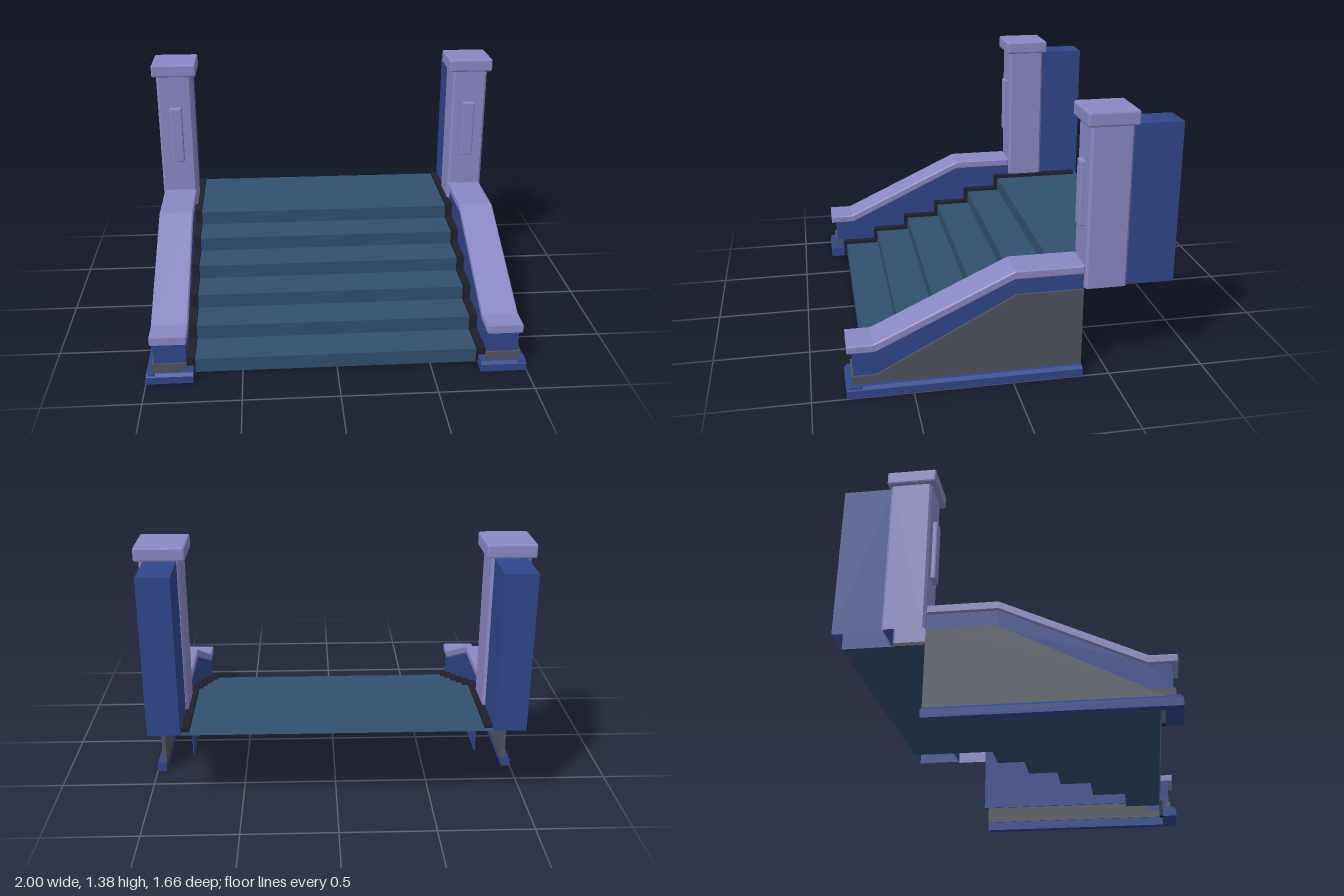
import * as THREE from 'three';
import { RoundedBoxGeometry } from 'three/addons/geometries/RoundedBoxGeometry.js';

const paint = (color) => new THREE.MeshStandardMaterial({ color, side: THREE.DoubleSide, flatShading: true });

export function createModel() {
  const model = new THREE.Group();
  const lavender = paint(0x8a88c4), blue = paint(0x30468c), teal = paint(0x31506f);
  const grey = paint(0x50545f), dark = paint(0x20202e);

  const add = (parent, name, geometry, material) => {
    const mesh = new THREE.Mesh(geometry, material);
    mesh.name = name;
    parent.add(mesh);
    return mesh;
  };
  const toShape = (pts) => new THREE.Shape(pts.map(([a, b]) => new THREE.Vector2(a, b)));

  // Side profile of [z, y] points, extruded across x from x0 to x1 (mirrored when s is -1)
  const slab = (pts, x0, x1, s, bevel = 0) => {
    const g = new THREE.ExtrudeGeometry(toShape(pts), {
      depth: x1 - x0 - 2 * bevel, bevelEnabled: bevel > 0, bevelSegments: 1,
      bevelSize: bevel, bevelThickness: bevel, bevelOffset: -bevel,
    });
    g.rotateY(-Math.PI / 2);
    g.translate((s > 0 ? x1 : -x0) - bevel, 0, 0);
    return g;
  };

  // Box given by its limits; the underside may be left open
  const box = (x0, x1, y0, y1, z0, z1, s, open = false) => {
    const g = new THREE.BoxGeometry(x1 - x0, y1 - y0, z1 - z0);
    if (open) {
      const index = Array.from(g.index.array);
      index.splice(18, 6);
      g.setIndex(index);
    }
    return g.translate(s * (x0 + x1) / 2, (y0 + y1) / 2, (z0 + z1) / 2);
  };
  const rounded = (x0, x1, y0, y1, z0, z1, s, r) =>
    new RoundedBoxGeometry(x1 - x0, y1 - y0, z1 - z0, 1, r)
      .translate(s * (x0 + x1) / 2, (y0 + y1) / 2, (z0 + z1) / 2);

  // Step outline, from the front foot to the back of the landing
  const count = 6, front = 0.73, run = 0.202, rise = 0.475 / count;
  const stepLine = (offset, back) => {
    const pts = [[front + offset, 0]];
    for (let i = 0; i < count; i++) {
      const y = (i + 1) * rise + offset;
      pts.push([front - i * run + offset, y]);
      pts.push([i < count - 1 ? front - (i + 1) * run + offset : back, y]);
    }
    return pts;
  };

  // Open sheet of risers and treads
  const stairs = new THREE.Group();
  stairs.name = 'stairs';
  model.add(stairs);
  const line = stepLine(0, -0.83);
  for (let i = 0; i < line.length - 1; i++) {
    const [z0, y0] = line[i], [z1, y1] = line[i + 1];
    const upright = i % 2 === 0;
    const g = new THREE.PlaneGeometry(1.58, upright ? y1 - y0 : z0 - z1);
    if (!upright) g.rotateX(-Math.PI / 2);
    g.translate(0, (y0 + y1) / 2, (z0 + z1) / 2);
    add(stairs, upright ? 'riser' : 'tread', g, teal);
  }

  for (const s of [1, -1]) {
    const side = new THREE.Group();
    side.name = s > 0 ? 'leftSide' : 'rightSide';
    model.add(side);

    // Dark stepped trim along the stair edge
    const trim = [...stepLine(0.02, -0.8), ...stepLine(0.002, -0.8).reverse()];
    add(side, 'steppedTrim', slab(trim, 0.748, 0.788, s), dark);

    // Plinth with a chamfered upper edge, along the front and the outer side
    add(side, 'plinthFront', slab(
      [[0.75, 0], [0.83, 0], [0.83, 0.04], [0.815, 0.055], [0.75, 0.055]], 0.755, 0.995, s), blue);
    const ledge = [[0.95, 0], [1, 0], [1, 0.04], [0.985, 0.055], [0.95, 0.055]];
    const plinth = new THREE.ExtrudeGeometry(toShape(ledge.map(([x, y]) => [s * x, y])),
      { depth: 1.185, bevelEnabled: false });
    add(side, 'plinthSide', plinth.translate(0, 0, -0.36), blue);

    // Thin grey outer panel and its front return
    add(side, 'outerPanel', slab(
      [[0.8, 0.05], [0.8, 0.1], [0.68, 0.1], [-0.02, 0.47], [-0.36, 0.47], [-0.36, 0.05]], 0.945, 0.967, s), grey);
    add(side, 'panelFront', box(0.787, 0.966, 0.05, 0.1, 0.77, 0.8, s), grey);

    // Blue parapet: inner wall, outer band and front, hollow between them
    const crest = [[0.79, 0.23], [0.68, 0.23], [-0.01, 0.555], [-0.36, 0.555]];
    add(side, 'innerWall', slab([[0.79, 0.1], ...crest, [-0.36, 0.1]], 0.789, 0.795, s), blue);
    add(side, 'outerBand', slab(
      [[0.79, 0.09], ...crest, [-0.36, 0.46], [-0.02, 0.46], [0.68, 0.09]], 0.949, 0.956, s), blue);
    add(side, 'parapetFront', box(0.79, 0.955, 0.1, 0.23, 0.78, 0.79, s), blue);

    // Sloping handrail cap
    add(side, 'coping', slab(
      [[0.82, 0.225], [0.82, 0.268], [0.69, 0.268], [-0.01, 0.597], [-0.36, 0.597],
        [-0.36, 0.552], [-0.01, 0.552], [0.68, 0.225]], 0.778, 0.97, s, 0.006), lavender);

    // Pillar with chamfered corners, open underneath
    const x0 = 0.775, x1 = 0.977, z0 = -0.578, z1 = -0.363, c = 0.012;
    const plan = [[x0 + c, z0], [x1 - c, z0], [x1, z0 + c], [x1, z1 - c],
      [x1 - c, z1], [x0 + c, z1], [x0, z1 - c], [x0, z0 + c]];
    const pos = [], index = [];
    plan.forEach(([x, z], i) => {
      pos.push(s * x, 0.475, z, s * x, 1.315, z);
      const a = 2 * i, b = 2 * ((i + 1) % plan.length);
      index.push(...(s > 0 ? [a, a + 1, b, b, a + 1, b + 1] : [a, b, a + 1, b, b + 1, a + 1]));
    });
    const shaft = new THREE.BufferGeometry();
    shaft.setAttribute('position', new THREE.Float32BufferAttribute(pos, 3));
    shaft.setIndex(index);
    shaft.computeVertexNormals();
    add(side, 'pillar', shaft, lavender);
    add(side, 'pillarCap', rounded(0.745, 1, 1.308, 1.382, -0.595, -0.338, s, 0.01), lavender);
    add(side, 'pillarPanel', rounded(0.838, 0.908, 0.782, 1.12, -0.38, -0.338, s, 0.008), lavender);

    // Blue pier behind the pillar
    add(side, 'pier', box(0.79, 0.955, 0.475, 1.306, -0.83, -0.57, s, true), blue);
  }
  return model;
}
